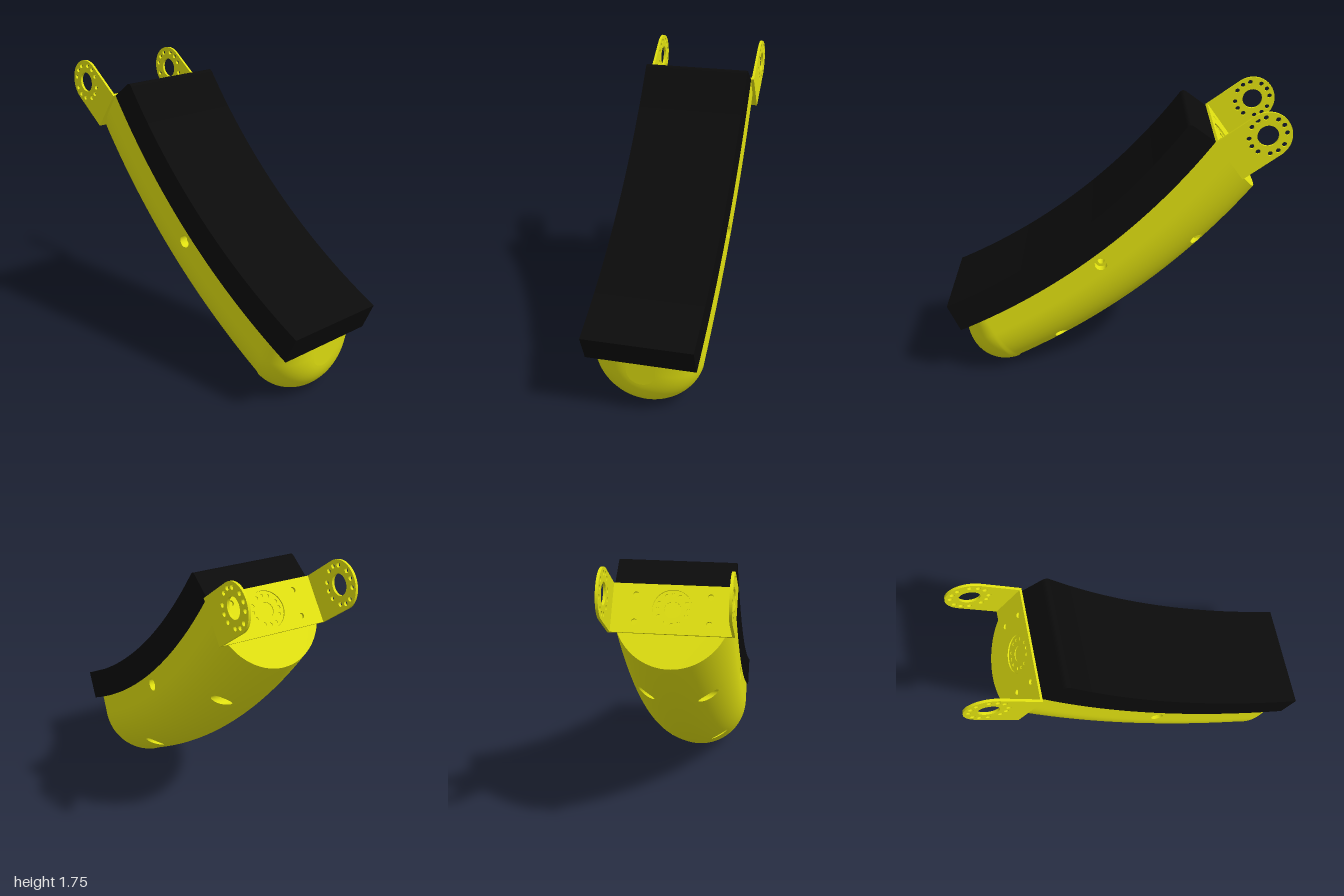
import * as THREE from 'three';

const yellow = new THREE.MeshStandardMaterial({ color: 0xe0e010, side: THREE.DoubleSide });
yellow.name = 'yellow shell';
const black = new THREE.MeshStandardMaterial({ color: 0x0b0b0b });
black.name = 'black pad';

const rad = THREE.MathUtils.degToRad;
const lerp = THREE.MathUtils.lerp;

// The limb bends around one centre; all radii are measured from it.
const C = new THREE.Vector2(2.492, 3.805);
const R_PAD = 3.62, R_IN = 3.8, R_OUT = 4.237, HALF = 0.32;
const A_TOP = rad(216.04), A_TOP_OUT = rad(217.94), A_NOSE = rad(242.96), A_END = rad(245.5);
const NOSE = { x: 0.67, y: 0.235, r: 0.235, end: rad(353) };

// Screw holes through the shell: centre and depth of the counterbore floor
const HOLES = [
  { x: 0.06, y: 0.8, floor: 0.27 },
  { x: -0.51, y: 0.905, floor: 0.1 },
  { x: 0.31, y: 0.245, floor: 0.1 },
];
const BORE = 0.038, DRILL = 0.02;

function polar(r, a) {
  return new THREE.Vector2(C.x + r * Math.cos(a), C.y + r * Math.sin(a));
}

// Half width of the shell at a point of its side profile
function halfWidth(x, y) {
  const b = R_OUT - Math.hypot(x - C.x, y - C.y);
  return b >= HALF ? HALF : Math.sqrt(Math.max(0, HALF * HALF - (HALF - b) ** 2));
}

function add(parent, name, geometry, material) {
  const mesh = new THREE.Mesh(geometry, material);
  mesh.name = name;
  parent.add(mesh);
  return mesh;
}

function circle(x, y, r) {
  return new THREE.Path().absarc(x, y, r, 0, Math.PI * 2, true);
}

// U section as [depth, z] pairs: straight walls joined by a half round
function section(depth, w) {
  const pts = [], straight = depth - w, S = 6, A = 64;
  for (let j = 0; j < S; j++) pts.push([straight * j / S, w]);
  for (let j = 0; j <= A; j++) {
    const t = Math.PI * j / A;
    pts.push([straight + w * Math.sin(t), w * Math.cos(t)]);
  }
  for (let j = S - 1; j >= 0; j--) pts.push([straight * j / S, -w]);
  return pts;
}

function shellRows() {
  const rows = [], N = 120, M = 28, depth = R_OUT - R_IN;
  // Curved main length
  for (let i = 0; i <= N; i++) {
    rows.push(section(depth, HALF).map(([d, z]) => {
      const p = polar(R_IN + d, lerp(lerp(A_TOP, A_TOP_OUT, d / depth), A_NOSE, i / N));
      const v = new THREE.Vector3(p.x, p.y, z);
      for (const h of HOLES) {
        const dx = p.x - h.x, dy = p.y - h.y, dist = Math.hypot(dx, dy) || 1e-6;
        if (dist < BORE + 0.006) {
          v.x = h.x + dx / dist * BORE;
          v.y = h.y + dy / dist * BORE;
          v.z = Math.sign(z) * halfWidth(v.x, v.y);
          v.rim = true;
        }
      }
      return v;
    }));
  }
  // Rounded nose
  for (let i = 1; i <= M; i++) {
    const f = i / M, a = lerp(A_NOSE, NOSE.end, f), q = f * Math.PI / 2;
    const top = polar(R_IN, lerp(A_NOSE, A_END, Math.sin(q)));
    const low = new THREE.Vector2(NOSE.x + NOSE.r * Math.cos(a), NOSE.y + NOSE.r * Math.sin(a));
    const len = top.distanceTo(low), w = HALF - NOSE.r * (1 - Math.cos(q));
    rows.push(section(len, Math.min(w, len)).map(([d, z]) => {
      const p = top.clone().lerp(low, d / len);
      return new THREE.Vector3(p.x, p.y, z);
    }));
  }
  return rows;
}

function gridGeometry(rows) {
  const n = rows[0].length, flat = rows.flat(), index = [];
  const tri = (a, b, c) => {
    if (!(flat[a].rim && flat[b].rim && flat[c].rim)) index.push(a, b, c);
  };
  for (let i = 0; i < rows.length - 1; i++) {
    for (let j = 0; j < n - 1; j++) {
      const a = i * n + j, b = a + n;
      tri(a, a + 1, b);
      tri(a + 1, b + 1, b);
    }
  }
  const g = new THREE.BufferGeometry().setFromPoints(flat);
  g.setIndex(index);
  g.computeVertexNormals();
  return g;
}

function capGeometry(row, flip) {
  const index = [];
  for (let j = 1; j < row.length - 1; j++) index.push(0, flip ? j : j + 1, flip ? j + 1 : j);
  const g = new THREE.BufferGeometry().setFromPoints(row);
  g.setIndex(index);
  g.computeVertexNormals();
  return g;
}

function addScrewHole(parent, h) {
  for (const side of [1, -1]) {
    // Counterbore wall, its rim following the shell surface
    const wall = new THREE.CylinderGeometry(BORE, BORE, 1, 40, 1, true).rotateX(Math.PI / 2);
    wall.translate(h.x, h.y, 0);
    const p = wall.attributes.position;
    for (let i = 0; i < p.count; i++) {
      const outer = p.getZ(i) * side > 0;
      p.setZ(i, side * (outer ? halfWidth(p.getX(i), p.getY(i)) : h.floor));
    }
    add(parent, 'counterboreWall', wall, yellow);
    const floor = new THREE.RingGeometry(DRILL, BORE, 40);
    if (side < 0) floor.rotateY(Math.PI);
    add(parent, 'counterboreFloor', floor.translate(h.x, h.y, side * h.floor), yellow);
  }
  const drill = new THREE.CylinderGeometry(DRILL, DRILL, 2 * h.floor, 32, 1, true).rotateX(Math.PI / 2);
  add(parent, 'screwHole', drill.translate(h.x, h.y, 0), yellow);
}

// Four groups of three small holes around a centre hole
function punchFlange(shape, centre, ring, small) {
  shape.holes.push(circle(0, 0, centre));
  for (let k = 0; k < 4; k++) {
    for (const o of [-26, 0, 26]) {
      const a = rad(90 * k + o);
      shape.holes.push(circle(ring * Math.cos(a), ring * Math.sin(a), small));
    }
  }
}

function createBracket() {
  const g = new THREE.Group();
  g.name = 'bracket';
  const T = 0.015, W = 0.136, U = 0.255;
  const opts = depth => ({ depth, bevelEnabled: false, curveSegments: 24 });

  // Two side ears
  const ear = new THREE.Shape();
  ear.moveTo(U, -W);
  ear.lineTo(U, W);
  ear.lineTo(0, W);
  ear.absarc(0, 0, W, Math.PI / 2, Math.PI * 1.5, false);
  ear.closePath();
  punchFlange(ear, 0.06, 0.106, 0.014);
  for (const z of [0.325, -0.34]) {
    add(g, z > 0 ? 'frontEar' : 'backEar', new THREE.ExtrudeGeometry(ear, opts(T)).translate(0, 0, z), yellow);
  }

  // Base plate on the end of the shell
  const base = new THREE.Shape();
  base.moveTo(-0.326, -W);
  base.lineTo(0.326, -W);
  base.lineTo(0.326, W);
  base.lineTo(-0.326, W);
  base.closePath();
  base.holes.push(circle(0, 0, 0.108));
  for (const x of [-0.2, 0.2]) for (const y of [-0.075, 0.075]) base.holes.push(circle(x, y, 0.016));
  const plate = new THREE.ExtrudeGeometry(base, opts(T)).rotateY(Math.PI / 2).translate(U - T, 0, 0);
  add(g, 'basePlate', plate, yellow);

  // Drilled disc inside the large opening
  const disc = new THREE.Shape().absarc(0, 0, 0.108, 0, Math.PI * 2, false);
  punchFlange(disc, 0.045, 0.082, 0.01);
  const discGeo = new THREE.ExtrudeGeometry(disc, opts(0.006)).rotateY(Math.PI / 2).translate(U - 0.007, 0, 0);
  add(g, 'mountingDisc', discGeo, yellow);

  g.position.set(-0.866, 1.61, 0);
  g.rotation.z = rad(-35.9);
  return g;
}

function padGeometry() {
  const s = new THREE.Shape(), round = 0.03;
  const start = polar(R_IN, A_TOP), corner = polar(R_PAD, A_TOP), before = polar(R_PAD + round, A_TOP);
  s.moveTo(start.x, start.y);
  s.absarc(C.x, C.y, R_IN, A_TOP, A_END, false);
  s.absarc(C.x, C.y, R_PAD, A_END, A_TOP + round / R_PAD, true);
  s.quadraticCurveTo(corner.x, corner.y, before.x, before.y);
  s.closePath();
  const g = new THREE.ExtrudeGeometry(s, { depth: 2 * HALF + 0.004, bevelEnabled: false, curveSegments: 48 });
  return g.translate(0, 0, -HALF - 0.002);
}

export function createModel() {
  const model = new THREE.Group();
  model.name = 'curvedLimb';

  const shell = new THREE.Group();
  shell.name = 'shell';
  const rows = shellRows();
  add(shell, 'shellSkin', gridGeometry(rows), yellow);
  add(shell, 'shellTopEnd', capGeometry(rows[0], false), yellow);
  add(shell, 'shellNoseEnd', capGeometry(rows[rows.length - 1], true), yellow);
  HOLES.forEach(h => addScrewHole(shell, h));

  model.add(shell, createBracket());
  add(model, 'pad', padGeometry(), black);
  return model;
}
